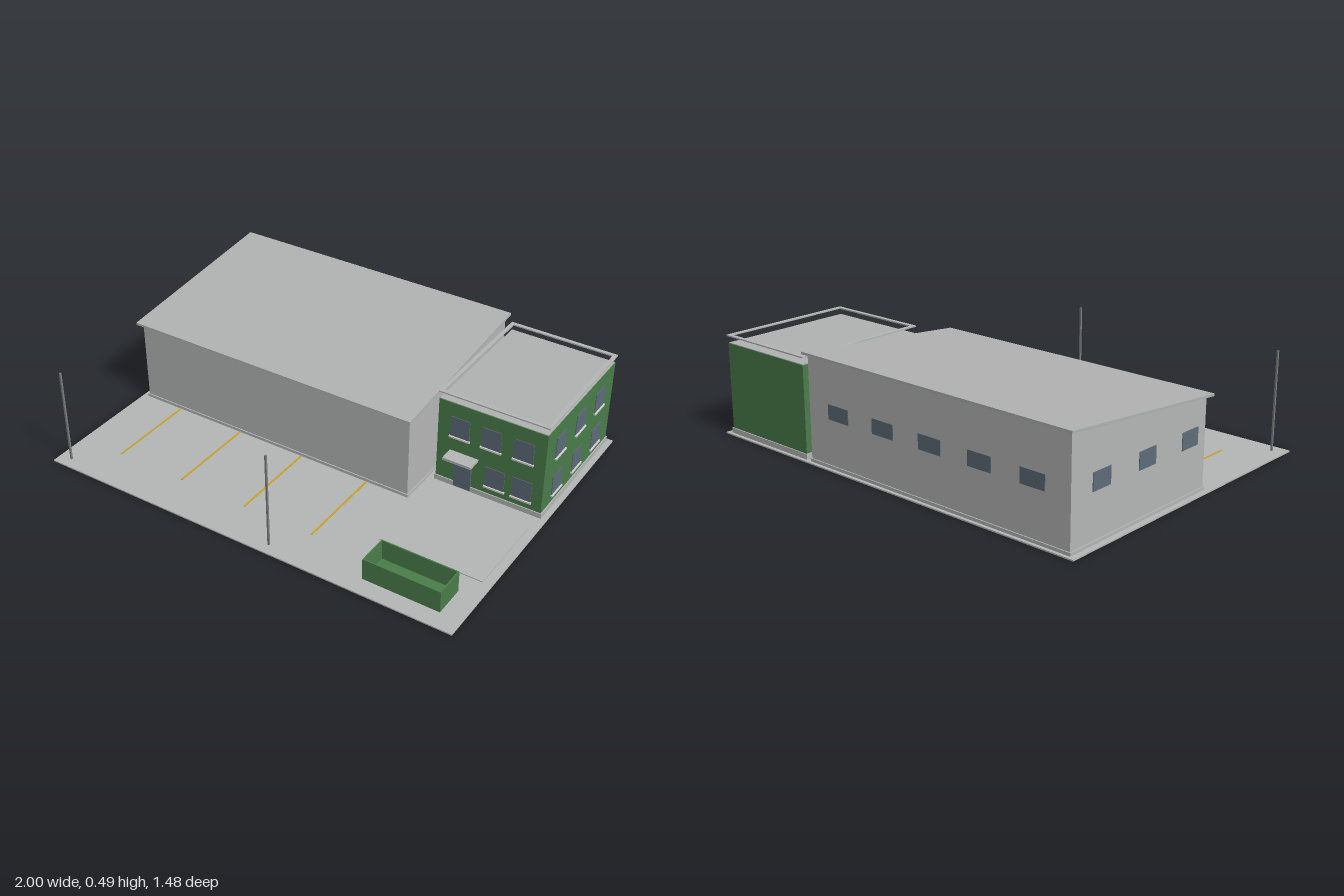
import * as THREE from 'three';

const paint = (name, color, extra = {}) => {
  const m = new THREE.MeshStandardMaterial({ color, ...extra });
  m.name = name;
  return m;
};

export function createModel() {
  const model = new THREE.Group();
  model.name = 'warehouseSite';
  const concrete = paint('concrete grey', 0xb4b6b5);
  const roofing = paint('roof grey', 0xb0b2b1);
  const trim = paint('light trim', 0xd4d4d2);
  const green = paint('green', 0x4a7d4a);
  const glass = paint('blue grey glass', 0x5d6b78);
  const yellow = paint('parking yellow', 0xc9a227);
  const steel = paint('pole steel', 0x7c8080);

  // box given by its limits on each axis
  const box = (name, mat, [x0, x1], [y0, y1], [z0, z1], parent = model) => {
    const mesh = new THREE.Mesh(new THREE.BoxGeometry(x1 - x0, y1 - y0, z1 - z0), mat);
    mesh.position.set((x0 + x1) / 2, (y0 + y1) / 2, (z0 + z1) / 2);
    mesh.name = name;
    parent.add(mesh);
    return mesh;
  };
  // side profile of [z, y] points, extended along x
  const prism = (name, mat, points, x0, x1) => {
    const shape = new THREE.Shape(points.map(([z, y]) => new THREE.Vector2(-z, y)));
    const geo = new THREE.ExtrudeGeometry(shape, { depth: x1 - x0, bevelEnabled: false });
    geo.rotateY(Math.PI / 2);
    const mesh = new THREE.Mesh(geo, mat);
    mesh.position.x = x0;
    mesh.name = name;
    model.add(mesh);
  };
  const span = (c, w) => [c - w / 2, c + w / 2];

  // yard
  box('ground', concrete, [-1, 1], [0, 0.006], [-0.74, 0.74]);
  box('walkway', concrete, [0.48, 0.96], [0.002, 0.01], [0.03, 0.42]);
  for (const x of [-0.78, -0.44, -0.105, 0.235]) {
    box('parkingLine', yellow, span(x, 0.009), [0.005, 0.008], [0.118, 0.545]);
  }
  for (const x of [-0.94, 0.125]) {
    box('lampPole', steel, span(x, 0.008), [0.005, 0.455], span(0.69, 0.008));
  }

  // warehouse with single-pitch roof
  prism('warehouseWalls', concrete,
    [[0.115, 0.002], [0.115, 0.403], [-0.72, 0.479], [-0.72, 0.002]], -0.97, 0.435);
  box('warehousePlinth', concrete, [-0.975, 0.44], [0.003, 0.02], [-0.725, 0.12]);
  prism('warehouseRoof', roofing,
    [[0.14, 0.4], [0.14, 0.411], [-0.742, 0.491], [-0.742, 0.48]], -0.99, 0.45);
  for (let i = -2; i <= 2; i++) {
    box('rearWindow', glass, span(-0.267 + i * 0.262, 0.12), [0.222, 0.288], [-0.723, -0.718]);
  }
  for (const z of [-0.545, -0.267, 0.011]) {
    box('sideWindow', glass, [-0.973, -0.968], [0.215, 0.29], span(z, 0.105));
  }

  // two-storey office
  box('officePlinth', concrete, [0.465, 0.975], [0.003, 0.03], [-0.725, -0.06]);
  box('officeWalls', green, [0.47, 0.97], [0.03, 0.422], [-0.72, -0.065]);
  box('officeRoof', roofing, [0.472, 0.968], [0.42, 0.425], [-0.718, -0.067]);

  // raised coping ring above the office roof
  const coping = new THREE.Group();
  coping.name = 'coping';
  model.add(coping);
  for (const z of [-0.715, -0.073]) {
    box('copingRail', concrete, [0.466, 0.976], [0.454, 0.46], span(z, 0.018), coping);
  }
  for (const x of [0.475, 0.967]) {
    box('copingRail', concrete, span(x, 0.018), [0.454, 0.46], [-0.706, -0.082], coping);
  }

  // office windows with sills
  const frontWindow = (x, y) => {
    box('frontWindow', glass, span(x, 0.09), [y, y + 0.096], [-0.067, -0.062]);
    box('frontSill', trim, span(x, 0.098), [y - 0.008, y], [-0.067, -0.056]);
  };
  const rightWindow = (z, y) => {
    box('officeSideWindow', glass, [0.968, 0.973], [y, y + 0.096], span(z, 0.09));
    box('officeSideSill', trim, [0.968, 0.979], [y - 0.008, y], span(z, 0.098));
  };
  for (const x of [0.575, 0.722, 0.87]) frontWindow(x, 0.26);
  for (const x of [0.75, 0.875]) frontWindow(x, 0.068);
  for (const y of [0.068, 0.26]) {
    for (const z of [-0.2, -0.392, -0.584]) rightWindow(z, y);
  }

  // entrance
  box('door', glass, span(0.6, 0.08), [0.01, 0.16], [-0.067, -0.058]);
  box('canopy', concrete, [0.533, 0.668], [0.172, 0.184], [-0.066, 0.003]);

  // open skip
  const skip = new THREE.Group();
  skip.name = 'openSkip';
  model.add(skip);
  box('skipFloor', green, [0.555, 0.9], [0.006, 0.014], [0.516, 0.658], skip);
  for (const z of [0.518, 0.656]) {
    box('skipLongSide', green, [0.552, 0.903], [0.006, 0.106], span(z, 0.006), skip);
  }
  for (const x of [0.555, 0.9]) {
    box('skipEnd', green, span(x, 0.006), [0.006, 0.106], [0.521, 0.653], skip);
  }

  return model;
}
